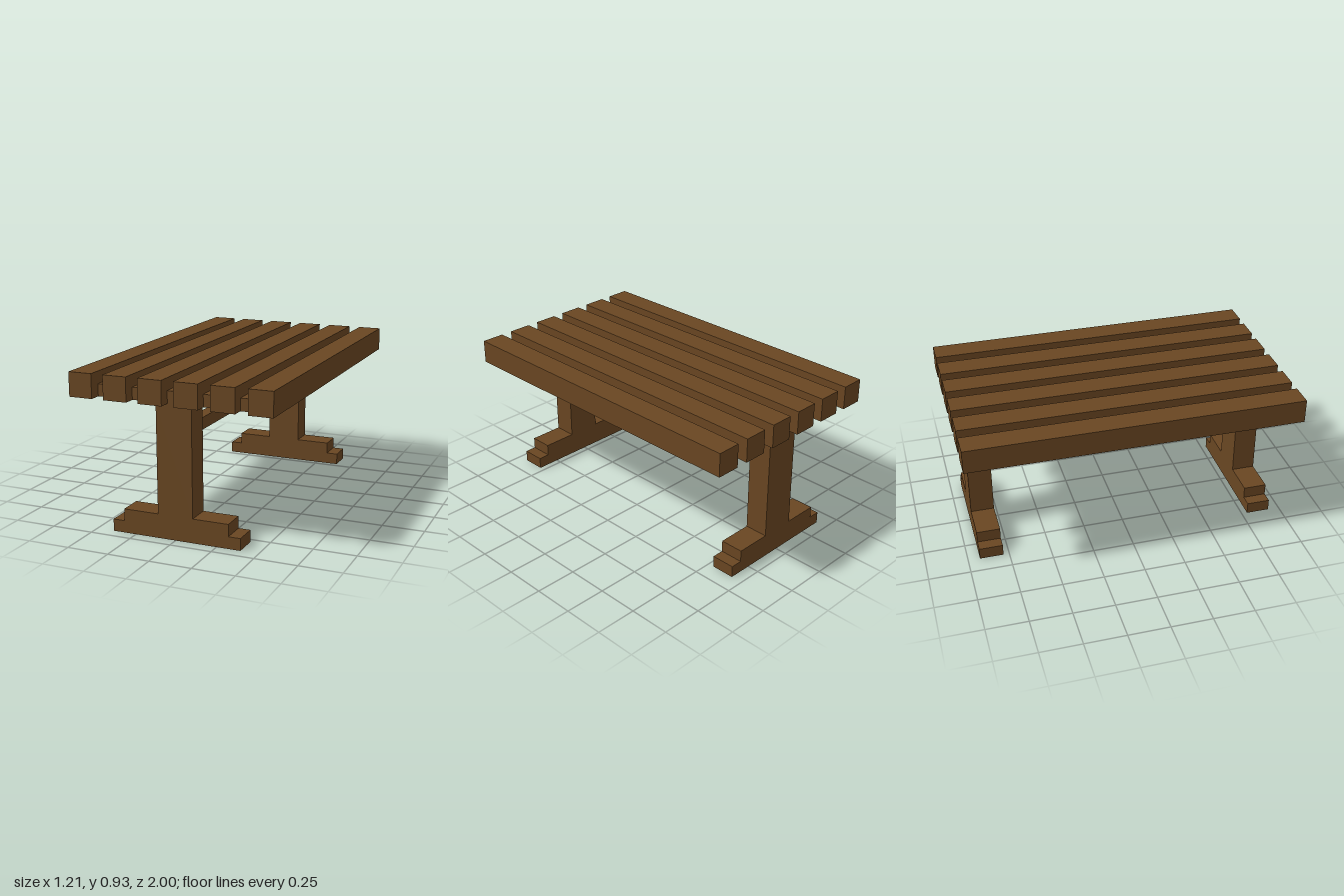
import * as THREE from 'three';

const U = 1 / 14; // the table is laid out on a 28-unit length

export function createModel() {
  const group = new THREE.Group();
  group.name = 'picnicTable';
  const wood = new THREE.MeshStandardMaterial({ color: 0x694622 });
  wood.name = 'brown wood';

  // box with sizes and centre given in units, y measured to its underside
  function box(name, w, h, d, x, y, z) {
    const mesh = new THREE.Mesh(new THREE.BoxGeometry(w * U, h * U, d * U), wood);
    mesh.position.set(x * U, (y + h / 2) * U, z * U);
    mesh.name = name;
    group.add(mesh);
  }

  // table top: six thick slats joined by five lower, shorter strips
  for (let i = 0; i < 6; i++) box('slat', 2, 2, 28, -7.5 + 3 * i, 11, 0);
  for (let i = 0; i < 5; i++) box('joiningStrip', 1, 1, 26, -6 + 3 * i, 11, 0);

  // trestle legs: a post on a stepped foot, cut as one profile
  const half = [[5.5, 0], [5.5, 1], [4.5, 1], [4.5, 2], [1.5, 2], [1.5, 11]];
  const outline = [...half, ...half.map(([x, y]) => [-x, y]).reverse()];
  const profile = new THREE.Shape(outline.map(([x, y]) => new THREE.Vector2(x * U, y * U)));
  const legGeometry = new THREE.ExtrudeGeometry(profile, { depth: 2 * U, bevelEnabled: false });
  for (const [name, z] of [['frontLeg', 11], ['backLeg', -13]]) {
    const leg = new THREE.Mesh(legGeometry, wood);
    leg.position.z = z * U;
    leg.name = name;
    group.add(leg);
  }

  // stretcher rail between the legs
  box('stretcher', 1, 1, 22, 0, 8, 0);

  return group;
}
